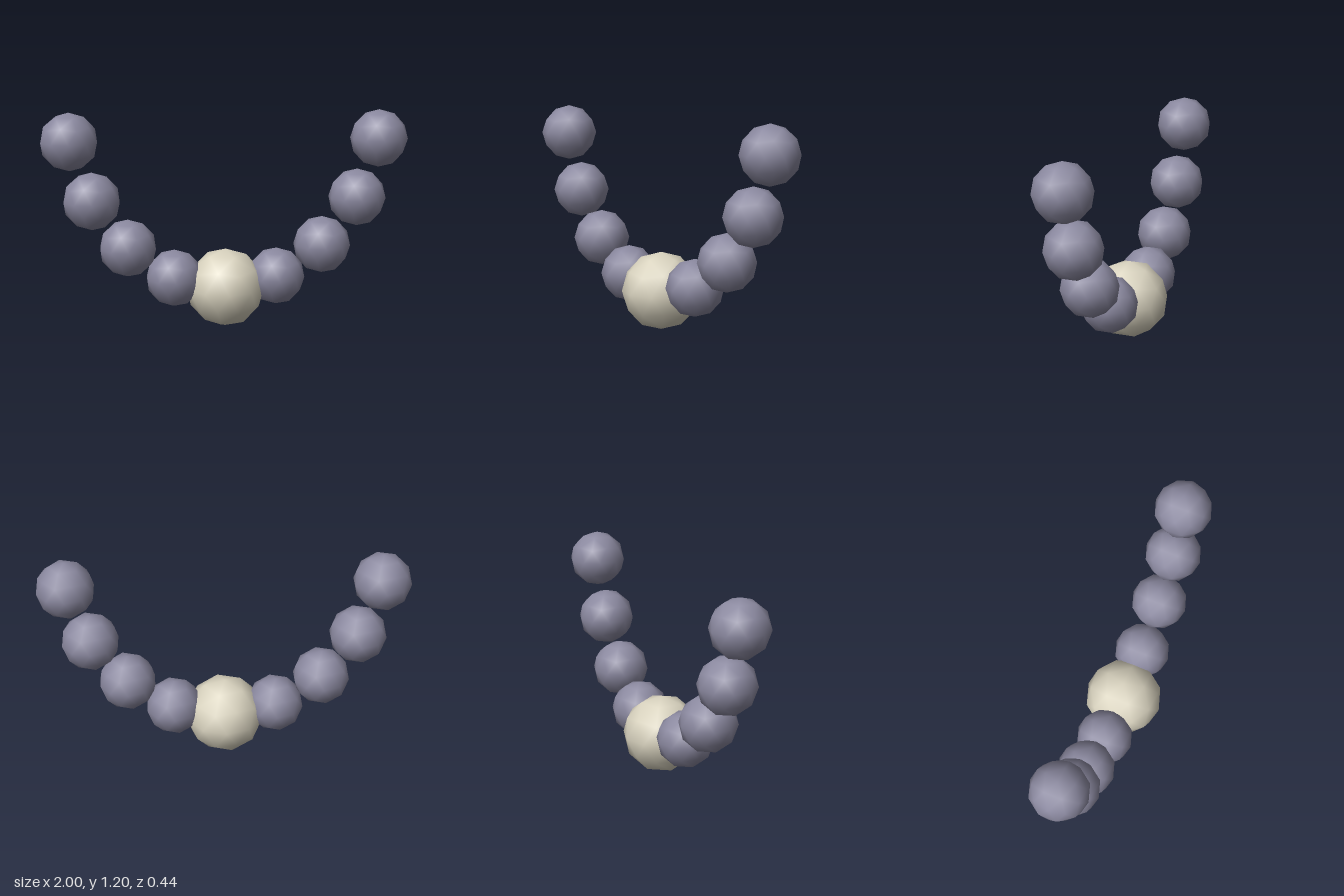
import * as THREE from 'three';

export function createModel() {
  const model = new THREE.Group();
  model.name = 'beadString';

  const ivory = new THREE.MeshStandardMaterial({ color: 0xd9d3bf });
  ivory.name = 'ivory';
  const slate = new THREE.MeshStandardMaterial({ color: 0x8b89a0 });
  slate.name = 'slate violet';

  // Low-poly icosphere with smooth normals, turned so a vertex sits at each pole
  const ball = new THREE.IcosahedronGeometry(1, 1);
  ball.rotateZ(-Math.atan(2 / (1 + Math.sqrt(5))));

  function addBead(name, material, radius, x, y) {
    const bead = new THREE.Mesh(ball, material);
    bead.name = name;
    bead.scale.setScalar(radius);
    bead.position.set(x, y, 0);
    model.add(bead);
  }

  // Large bead at the bottom of the string
  addBead('centreBead', ivory, 0.218, 0, 0.22);

  // Four smaller beads rising on each side
  const path = [[0.283, 0.279], [0.537, 0.452], [0.731, 0.715], [0.848, 1.042]];
  for (const [side, sign] of [['left', 1], ['right', -1]]) {
    path.forEach(([x, y], i) => addBead(`${side}Bead${i + 1}`, slate, 0.159, sign * x, y));
  }
  return model;
}
